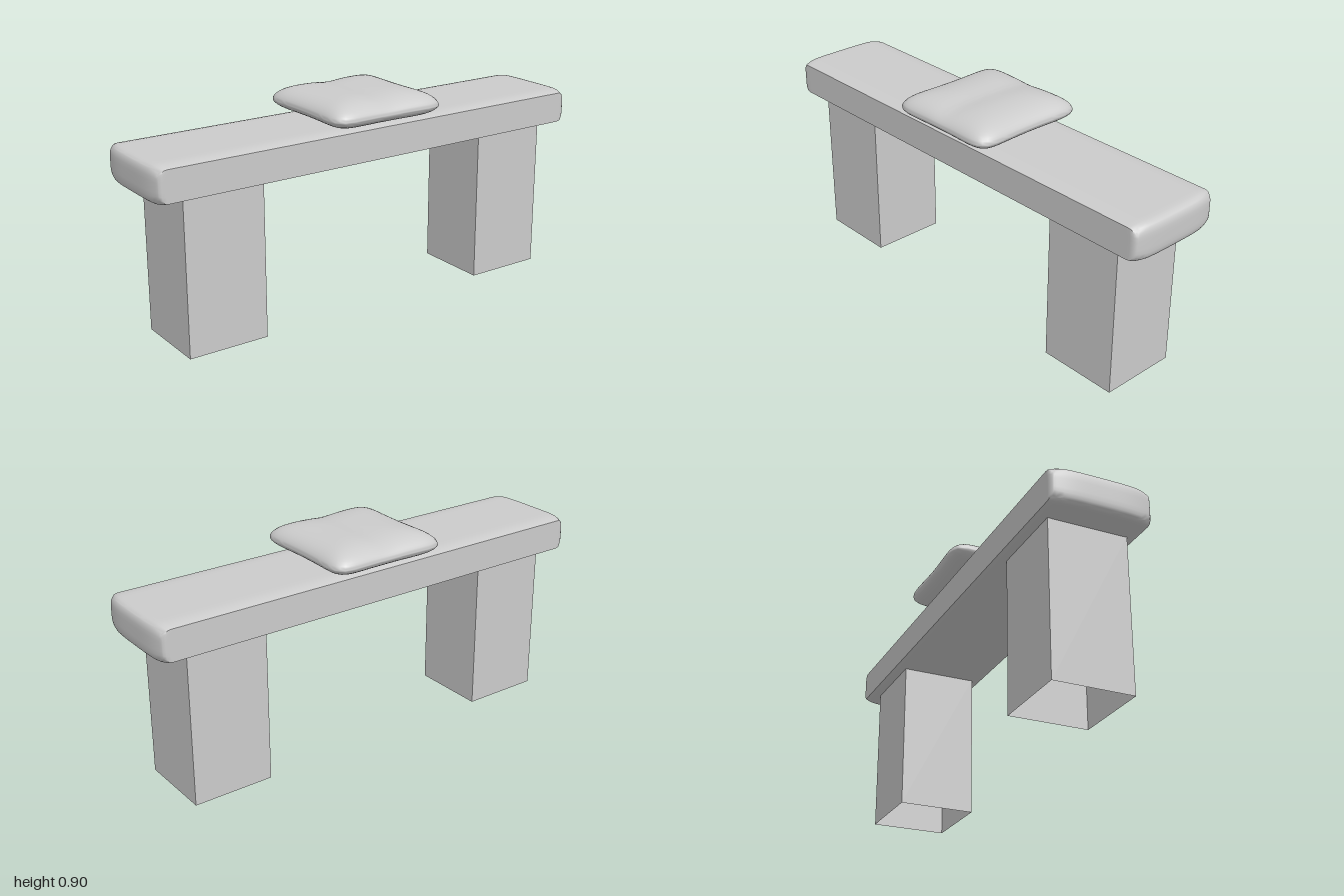
import * as THREE from 'three';
import { mergeVertices, toCreasedNormals } from 'three/addons/utils/BufferGeometryUtils.js';

const grey = new THREE.MeshStandardMaterial({ color: 0xcccccc, side: THREE.DoubleSide });

// Moves every vertex by a rule, welds the seams and recomputes smooth normals
function reshape(geometry, rule, crease) {
  geometry.deleteAttribute('uv');
  geometry.deleteAttribute('normal');
  const p = geometry.attributes.position;
  const v = new THREE.Vector3();
  for (let i = 0; i < p.count; i++) {
    v.fromBufferAttribute(p, i);
    rule(v);
    p.setXYZ(i, v.x, v.y, v.z);
  }
  return toCreasedNormals(mergeVertices(geometry, 1e-5), crease);
}

function addMesh(group, name, geometry) {
  const mesh = new THREE.Mesh(geometry, grey);
  mesh.name = name;
  group.add(mesh);
  return mesh;
}

// Plank with softly crowned faces and bowed ends
function seatGeometry() {
  const spread = (t) => Math.sin(t * Math.PI / 2); // packs vertices near the edges
  return reshape(new THREE.BoxGeometry(2, 2, 2, 20, 10, 40), (v) => {
    const a = spread(v.x), b = spread(v.y), c = spread(v.z);
    const edgeX = Math.max(0, (Math.abs(a) - 0.7) / 0.3) ** 2;
    const edgeZ = Math.max(0, (Math.abs(c) - 0.975) / 0.025) ** 2;
    v.x = a * (0.205 - 0.012 * edgeZ * edgeZ);
    v.y = 0.708 + b * (0.075 - 0.011 * edgeX - 0.01 * edgeZ);
    v.z = c * (0.997 - 0.015 * a ** 4 - 0.01 * b ** 6);
  }, 0.9);
}

// Pillow: a sphere squared off, pinched along its sides and dented across the middle
function cushionGeometry() {
  return reshape(new THREE.SphereGeometry(1, 96, 32), (v) => {
    const r = Math.min(1, Math.hypot(v.x, v.z));
    const angle = Math.atan2(v.z, v.x);
    const c = Math.cos(angle), s = Math.sin(angle);
    const n = 7;
    const k = (Math.abs(c) ** n + Math.abs(s) ** n) ** (-1 / n);
    const ox = c * k, oz = s * k;
    const top = v.y > 0;
    const puff = Math.abs(v.y) < 1e-6 ? 0 : Math.max(0, 1 - r ** 4) ** 0.58;
    v.x = r * ox * 0.268 * (1 - 0.05 * (1 - oz * oz));
    v.z = r * oz * 0.268 * (1 - 0.06 * (1 - ox * ox));
    const dent = top ? 0.008 * Math.exp(-((v.z / 0.06) ** 2)) * puff : 0;
    v.y = 0.833 + (top ? 0.064 : -0.052) * puff - dent;
    v.z -= 0.005;
  }, 1.1);
}

// Hollow square leg, open at both ends
function legGeometry() {
  const g = new THREE.BoxGeometry(0.326, 0.64, 0.34);
  const sides = g.groups.filter((f) => f.materialIndex !== 2 && f.materialIndex !== 3);
  const index = sides.flatMap((f) => Array.from(g.index.array.slice(f.start, f.start + f.count)));
  g.setIndex(index);
  g.clearGroups();
  return g;
}

export function createModel() {
  const bench = new THREE.Group();
  bench.name = 'bench';
  addMesh(bench, 'seat', seatGeometry());
  addMesh(bench, 'cushion', cushionGeometry());
  for (const [name, z] of [['frontLeg', 0.7], ['backLeg', -0.7]]) {
    addMesh(bench, name, legGeometry()).position.set(0, 0.32, z);
  }
  return bench;
}
